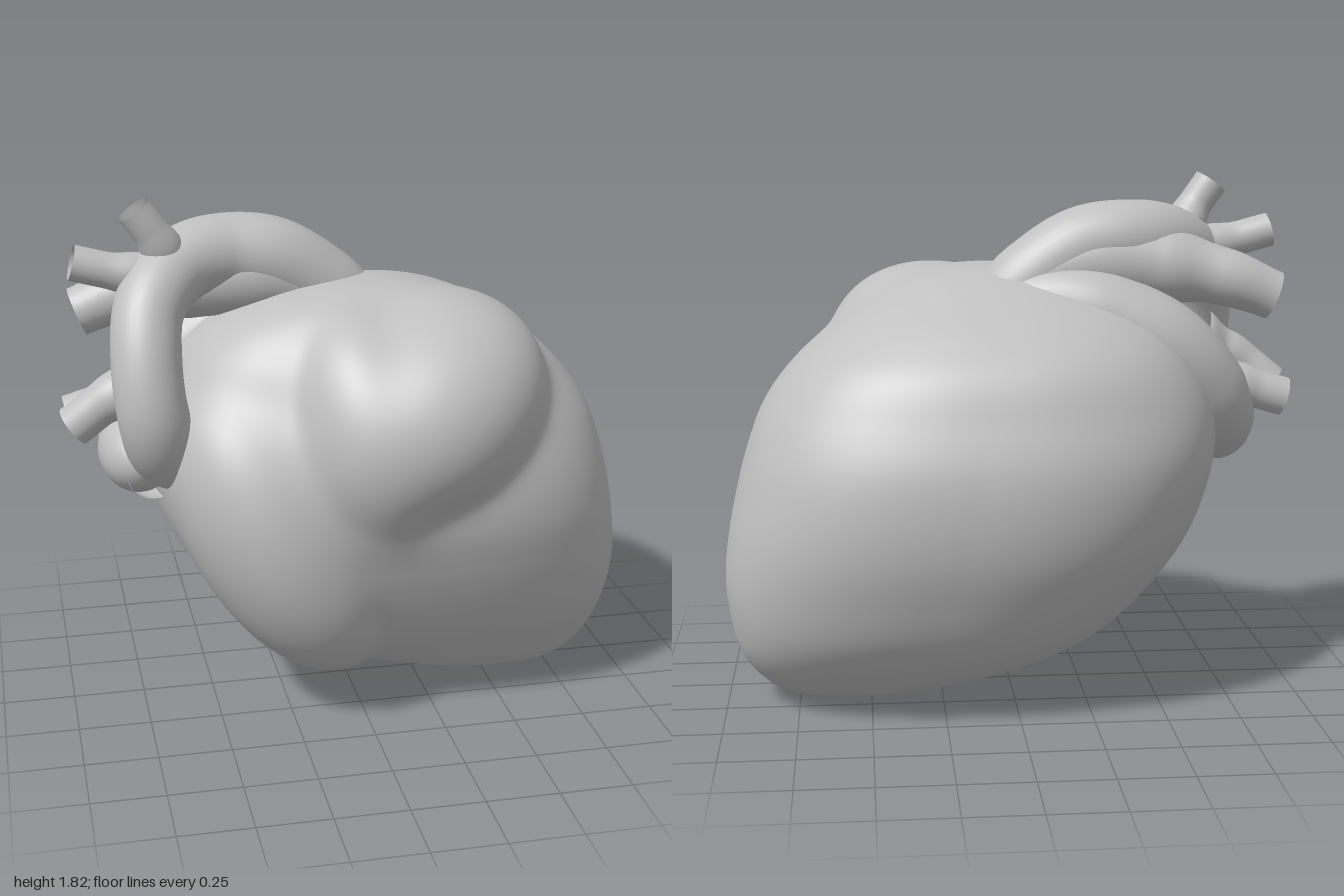
import * as THREE from 'three';
import { mergeVertices } from 'three/addons/utils/BufferGeometryUtils.js';

const V = (x, y, z) => new THREE.Vector3(x, y, z);
const TOP = 1.51;
const angleAt = (y) => Math.acos(THREE.MathUtils.clamp(1 - (2 * y) / TOP, -1, 1));

// Main chamber cross-sections: y, xMin, xMax, zMin, zMax
const sections = [
  [0, 0.53, 0.55, -0.06, -0.04],
  [0.03, 0.3, 0.8, -0.25, 0.12],
  [0.1, 0.0, 0.9, -0.38, 0.22],
  [0.2, -0.24, 0.96, -0.5, 0.31],
  [0.3, -0.38, 0.985, -0.58, 0.39],
  [0.45, -0.52, 1.0, -0.65, 0.47],
  [0.6, -0.62, 0.985, -0.7, 0.53],
  [0.75, -0.68, 0.955, -0.72, 0.57],
  [0.9, -0.71, 0.915, -0.71, 0.57],
  [1.05, -0.7, 0.855, -0.66, 0.53],
  [1.2, -0.63, 0.74, -0.59, 0.46],
  [1.3, -0.56, 0.62, -0.49, 0.41],
  [1.4, -0.43, 0.47, -0.34, 0.34],
  [1.46, -0.28, 0.35, -0.22, 0.28],
  [TOP, 0.05, 0.09, 0.03, 0.07],
];
const profile = new THREE.CubicInterpolant(
  sections.map((s) => angleAt(s[0])), sections.flatMap((s) => s.slice(1)), 4);

// Approximate distance to the main chamber, squarer on its left side
function chamber(p) {
  const [x0, x1, z0, z1] = profile.evaluate(angleAt(p.y));
  const rx = Math.max((x1 - x0) / 2, 0.01), rz = Math.max((z1 - z0) / 2, 0.01);
  const dx = p.x - (x0 + x1) / 2, e = dx > 0 ? 2.5 : 2.3;
  const u = Math.abs(dx) / rx, w = Math.abs(p.z - (z0 + z1) / 2) / rz;
  const side = (Math.pow(u ** e + w ** e, 1 / e) - 1) * Math.min(rx, rz);
  return Math.max(side, Math.abs(p.y - TOP / 2) - TOP / 2);
}

// Approximate distance to an ellipsoid turned about z
function ellipsoid(c, r, turn) {
  const cs = Math.cos(turn), sn = Math.sin(turn);
  return (p) => {
    const dx = p.x - c.x, dy = p.y - c.y;
    const q = Math.hypot((dx * cs + dy * sn) / r.x, (dy * cs - dx * sn) / r.y, (p.z - c.z) / r.z);
    return (q - 1) * Math.min(r.x, r.y, r.z);
  };
}

// Heart muscle: a sphere pushed out to the soft union of its lobes
function bodyGeometry() {
  const lobes = [
    chamber,
    ellipsoid(V(0.17, 1.09, 0.22), V(0.49, 0.38, 0.49), 0.5), // upper front lobe
    ellipsoid(V(0.01, 1.03, 0.24), V(0.28, 0.44, 0.42), 0.2), // its tapering tail
    ellipsoid(V(-0.26, 0.67, 0.2), V(0.32, 0.57, 0.37), 0.47), // lower front lobe
  ];
  const k = 50;
  const field = (p) => -Math.log(lobes.reduce((s, f) => s + Math.exp(-k * f(p)), 0)) / k;
  let geo = new THREE.IcosahedronGeometry(1, 50);
  geo.deleteAttribute('uv');
  geo.deleteAttribute('normal');
  geo = mergeVertices(geo, 1e-5);
  const pos = geo.attributes.position, centre = V(0.12, 0.75, -0.05);
  const dir = V(0, 0, 0), p = V(0, 0, 0);
  for (let i = 0; i < pos.count; i++) {
    dir.fromBufferAttribute(pos, i).normalize();
    let a = 0, b = 1.4;
    for (let n = 0; n < 20; n++) {
      const m = (a + b) / 2;
      if (field(p.copy(centre).addScaledVector(dir, m)) < 0) a = m;
      else b = m;
    }
    pos.setXYZ(i, p.x, p.y, p.z);
  }
  geo.computeVertexNormals();
  return geo;
}

// Tube whose radius follows a list spread along its length
function vesselGeometry(points, radii, rings = 48, sides = 32) {
  const geo = new THREE.TubeGeometry(new THREE.CatmullRomCurve3(points), rings, 1, sides);
  const pos = geo.attributes.position, nor = geo.attributes.normal;
  const p = V(0, 0, 0), n = V(0, 0, 0);
  for (let i = 0; i < pos.count; i++) {
    const t = (Math.floor(i / (sides + 1)) / rings) * (radii.length - 1);
    const j = Math.min(Math.floor(t), radii.length - 2);
    const r = THREE.MathUtils.lerp(radii[j], radii[j + 1], THREE.MathUtils.smoothstep(t - j, 0, 1));
    n.fromBufferAttribute(nor, i);
    p.fromBufferAttribute(pos, i).addScaledVector(n, r - 1);
    pos.setXYZ(i, p.x, p.y, p.z);
  }
  geo.computeVertexNormals();
  // Close the shading seam along the tube
  const m = geo.attributes.normal;
  for (let i = 0; i <= rings; i++) {
    const a = i * (sides + 1), b = a + sides;
    n.set(m.getX(a) + m.getX(b), m.getY(a) + m.getY(b), m.getZ(a) + m.getZ(b)).normalize();
    m.setXYZ(a, n.x, n.y, n.z);
    m.setXYZ(b, n.x, n.y, n.z);
  }
  return geo;
}

export function createModel() {
  const group = new THREE.Group();
  const grey = new THREE.MeshStandardMaterial({ color: 0xc0c0c0, side: THREE.DoubleSide });
  grey.name = 'plain grey';
  const add = (name, geo) => {
    const mesh = new THREE.Mesh(geo, grey);
    mesh.name = name;
    group.add(mesh);
    return mesh;
  };

  add('heartBody', bodyGeometry());

  // Great arch, running over the top and down the front
  add('archVessel', vesselGeometry([
    V(0.08, 1.32, -0.08), V(-0.08, 1.47, -0.07), V(-0.25, 1.57, -0.06), V(-0.42, 1.595, -0.05),
    V(-0.58, 1.57, 0.02), V(-0.69, 1.47, 0.14), V(-0.715, 1.3, 0.23), V(-0.7, 1.12, 0.26),
    V(-0.66, 0.99, 0.2), V(-0.56, 0.92, 0.1),
  ], [0.12, 0.135, 0.14, 0.135, 0.125, 0.117, 0.117, 0.12, 0.12], 90));

  // Rear branch running under the arch, with a flat closed end
  const rearEnd = V(-0.915, 1.4, -0.11);
  add('rearBranch', vesselGeometry([
    V(0.05, 1.36, -0.08), V(-0.2, 1.5, -0.07), V(-0.42, 1.515, -0.065), V(-0.6, 1.495, -0.08),
    V(-0.76, 1.46, -0.105), rearEnd,
  ], [0.12, 0.135, 0.145, 0.135, 0.1, 0.085], 64));
  const cap = add('rearBranchEnd', new THREE.CircleGeometry(0.085, 32));
  cap.position.copy(rearEnd);
  cap.lookAt(rearEnd.clone().add(V(-0.155, -0.06, -0.005)));

  // Rear vein along the back, ending in a rounded bulb
  add('rearVein', vesselGeometry([
    V(0.1, 1.34, -0.08), V(-0.18, 1.38, -0.15), V(-0.42, 1.3, -0.18), V(-0.62, 1.15, -0.17),
    V(-0.73, 0.98, -0.08), V(-0.73, 0.93, 0.04), V(-0.68, 0.92, 0.16),
  ], [0.1, 0.13, 0.145, 0.155, 0.145, 0.13, 0.12], 64));
  const bulb = add('veinBulb', new THREE.SphereGeometry(1, 40, 28));
  bulb.position.set(-0.74, 0.94, 0.03);
  bulb.scale.set(0.135, 0.14, 0.2);

  // Open side branches, flared where they join
  const stubs = [
    ['upperBranch', V(-0.6, 1.58, 0.04), V(-0.66, 1.69, 0.08), V(-0.725, 1.785, 0.085), 0.06],
    ['sideBranch', V(-0.62, 1.55, 0.05), V(-0.78, 1.575, 0.07), V(-0.935, 1.615, 0.07), 0.06],
    ['lowerFrontBranch', V(-0.69, 1.2, 0.1), V(-0.83, 1.15, 0.1), V(-0.955, 1.055, 0.08), 0.072],
    ['lowerRearBranch', V(-0.7, 1.1, -0.09), V(-0.82, 1.08, -0.09), V(-0.965, 1.04, -0.09), 0.068],
  ];
  for (const [name, a, b, c, r] of stubs) {
    add(name, vesselGeometry([a, b, c], [r * 1.8, r * 1.2, r, r], 24));
  }
  return group;
}
